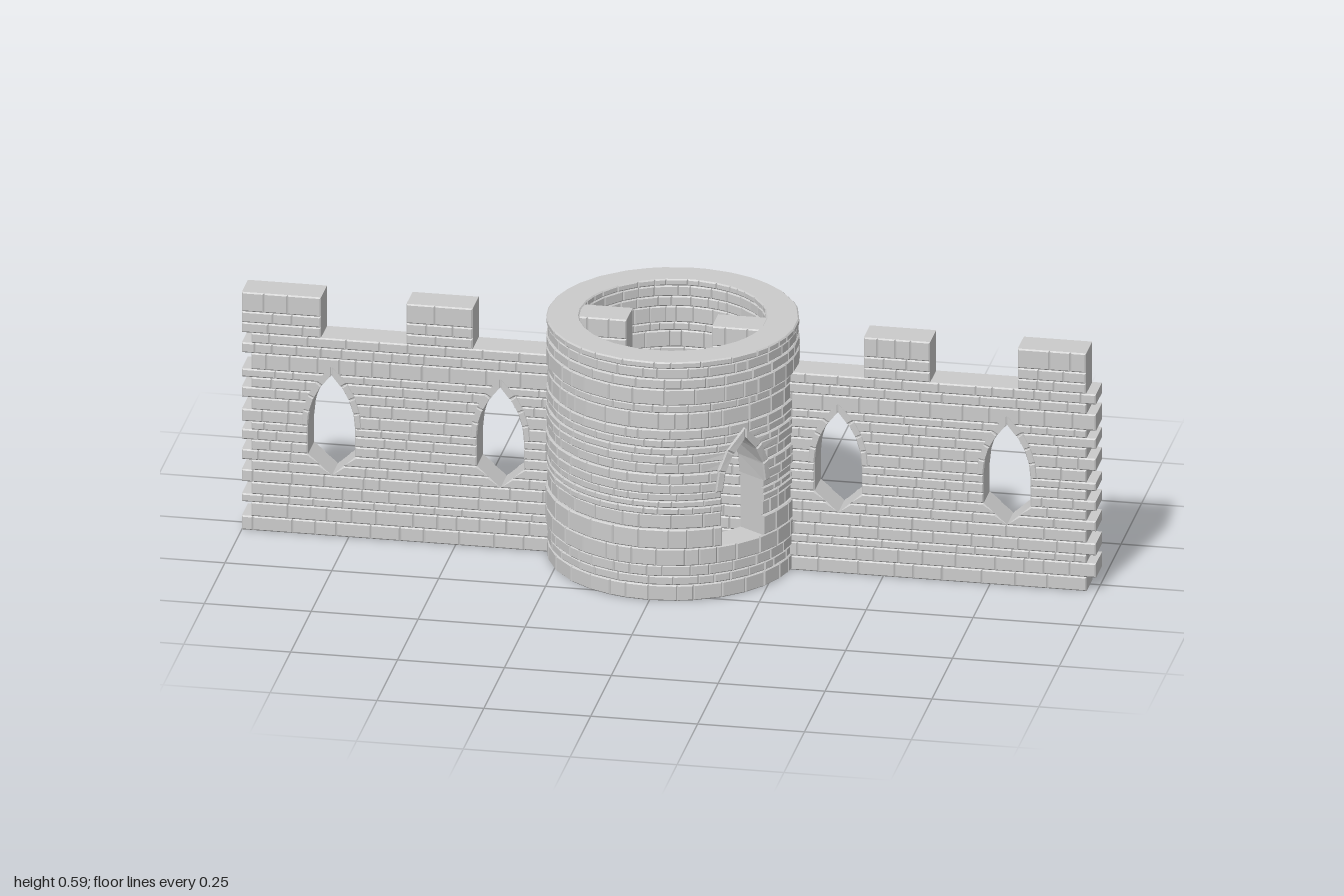
import * as THREE from 'three';

const R = 0.29;            // tower radius
const BEVEL = 0.003;

// small seeded generator for stone widths
let seed = 7;
const rand = () => (seed = (seed * 16807) % 2147483647) / 2147483647;

// (u along the course, y up, d outward) -> position
const onWall = (u, y, d) => [u, y, d];
const onTower = (u, y, d) => [d * Math.sin(u / R), y, d * Math.cos(u / R)];

// One bevelled stone from four [u, y] corners, extruded from depth d0 to d1
function stone(out, map, corners, d0, d1) {
  const cu = corners.reduce((s, c) => s + c[0], 0) / 4;
  const cy = corners.reduce((s, c) => s + c[1], 0) / 4;
  const toward = (v, c) => v + Math.sign(c - v) * Math.min(BEVEL, Math.abs(c - v) * 0.4);
  const loop = (d, inset) => corners.map(([u, y]) =>
    inset ? map(toward(u, cu), toward(y, cy), d) : map(u, y, d));
  const loops = [loop(d0, true), loop(d0 + BEVEL, false), loop(d1 - BEVEL, false), loop(d1, true)];
  const quad = (a, b, c, d) => out.push(...a, ...b, ...c, ...a, ...c, ...d);
  for (let k = 0; k < 3; k++) {
    for (let i = 0; i < 4; i++) {
      const j = (i + 1) % 4;
      quad(loops[k][i], loops[k][j], loops[k + 1][j], loops[k + 1][i]);
    }
  }
  quad(...loops[3]);
  quad(...[...loops[0]].reverse());
}

// Fill a course between two (possibly slanted) ends, each [u at bottom, u at top]
function course(out, map, y0, y1, left, right, d0, d1, size) {
  const a = Math.max(...left), b = Math.min(...right);
  const cuts = [];
  let u = a + size * (0.4 + rand());
  while (u < b - size * 0.4) {
    cuts.push([u, u]);
    u += size * (0.55 + rand() * 0.95);
  }
  const ends = [left, ...cuts, right];
  for (let i = 0; i < ends.length - 1; i++) {
    const p = ends[i], q = ends[i + 1];
    stone(out, map, [[p[0], y0], [q[0], y0], [q[1], y1], [p[1], y1]], d0, d1);
  }
}

// Pointed opening: half width at height y
const arcRadius = (o) => ((o.apex - o.spring) ** 2 + o.w ** 2) / (2 * o.w);
function halfWidth(o, y) {
  if (y < o.bottom || y >= o.apex) return 0;
  if (y < o.sill) return o.w * (y - o.bottom) / (o.sill - o.bottom);
  if (y <= o.spring) return o.w;
  const r = arcRadius(o);
  return Math.max(0, o.w - r + Math.sqrt(r * r - (y - o.spring) ** 2));
}
// Half width at the bottom and top of a course
const openingEnds = (o, y0, y1) =>
  y0 < o.bottom - 1e-6 ? [0, 0] : [halfWidth(o, y0), halfWidth(o, y1 - 1e-7)];

// Wedge stones that frame the arch on both sides
function archStones(out, map, o, centre, d0, d1, width, count) {
  const r = arcRadius(o), c = o.w - r;
  const end = Math.acos(-c / r);
  const at = (rad, t) => [c + rad * Math.cos(t), o.spring + rad * Math.sin(t)];
  for (let i = 0; i < count; i++) {
    const t0 = end * i / count, t1 = end * (i + 1) / count;
    const tip = i === count - 1
      ? [0, o.spring + Math.sqrt((r + width) ** 2 - c * c)] : at(r + width, t1);
    const half = [at(r, t0), at(r + width, t0), tip, at(r, t1)];
    stone(out, map, half.map(([u, y]) => [centre + u, y]), d0, d1);
    stone(out, map, half.map(([u, y]) => [centre - u, y]).reverse(), d0, d1);
  }
}

const material = new THREE.MeshStandardMaterial({ color: 0xcccccc, flatShading: true });

function partMesh(name, positions) {
  const geometry = new THREE.BufferGeometry();
  geometry.setAttribute('position', new THREE.Float32BufferAttribute(positions, 3));
  geometry.computeVertexNormals();
  const mesh = new THREE.Mesh(geometry, material);
  mesh.name = name;
  return mesh;
}

export function createModel() {
  seed = 7;
  const group = new THREE.Group();
  group.name = 'castleWallWithTower';
  const back = -0.033, front = 0.046;

  // Curtain wall with a row of pointed windows
  const wall = [], wallArches = [];
  const wallRows = [0, 0.035, 0.07, 0.09, 0.12, 0.15, 0.175, 0.2, 0.225, 0.25, 0.27,
    0.3, 0.33, 0.355, 0.38, 0.4, 0.44, 0.465, 0.49];
  const wallWindow = { bottom: 0.15, sill: 0.2, spring: 0.27, apex: 0.4, w: 0.055 };
  const centres = [-0.79, -0.395, 0, 0.395, 0.79];
  for (let i = 0; i < wallRows.length - 1; i++) {
    const y0 = wallRows[i], y1 = wallRows[i + 1];
    const h = openingEnds(wallWindow, y0, y1);
    const shift = i % 2 ? 0.022 : 0;
    let left = [-1 + shift, -1 + shift];
    const end = [0.976 + shift, 0.976 + shift];
    if (h[0] + h[1] > 0) {
      for (const c of centres) {
        course(wall, onWall, y0, y1, left, h.map((v) => c - v), back, front, 0.065);
        left = h.map((v) => c + v);
      }
    }
    course(wall, onWall, y0, y1, left, end, back, front, 0.065);
  }
  for (const c of centres) {
    archStones(wallArches, onWall, wallWindow, c, back - 0.002, front + 0.002, 0.016, 4);
  }
  group.add(partMesh('curtainWall', wall), partMesh('wallWindowArches', wallArches));

  // Merlons along the top of the wall
  const merlons = [];
  const merlonSpans = [[-1, -0.815], [-0.615, -0.46], [-0.25, -0.1],
    [0.1, 0.25], [0.455, 0.61], [0.815, 0.975]];
  const merlonRows = [0.49, 0.515, 0.542, 0.59];
  for (const [a, b] of merlonSpans) {
    for (let i = 0; i < 3; i++) {
      course(merlons, onWall, merlonRows[i], merlonRows[i + 1], [a, a], [b, b], back, front, 0.06);
    }
  }
  group.add(partMesh('merlons', merlons));

  // Round hollow tower with a tall pointed opening on its front left
  const tower = [], towerArch = [];
  const towerRows = [0, 0.039, 0.061, 0.088, 0.13, 0.178, 0.214, 0.231, 0.247, 0.266, 0.29,
    0.315, 0.34, 0.362, 0.38, 0.4, 0.425, 0.466, 0.486, 0.526, 0.551, 0.577, 0.593];
  const doorway = { bottom: 0.13, sill: 0.13, spring: 0.266, apex: 0.39, w: 0.057 };
  const doorCentre = R * Math.PI / 4, around = R * Math.PI * 2;
  for (let i = 0; i < towerRows.length - 1; i++) {
    const y0 = towerRows[i], y1 = towerRows[i + 1];
    const h = openingEnds(doorway, y0, y1);
    const start = doorCentre + (h[0] + h[1] > 0 ? 0 : rand());
    course(tower, onTower, y0, y1, h.map((v) => start + v), h.map((v) => start + around - v),
      0.215, 0.288 + rand() * 0.005, 0.052);
  }
  archStones(towerArch, onTower, doorway, doorCentre, 0.213, 0.298, 0.018, 3);
  group.add(partMesh('tower', tower), partMesh('towerDoorwayArch', towerArch));

  return group;
}
